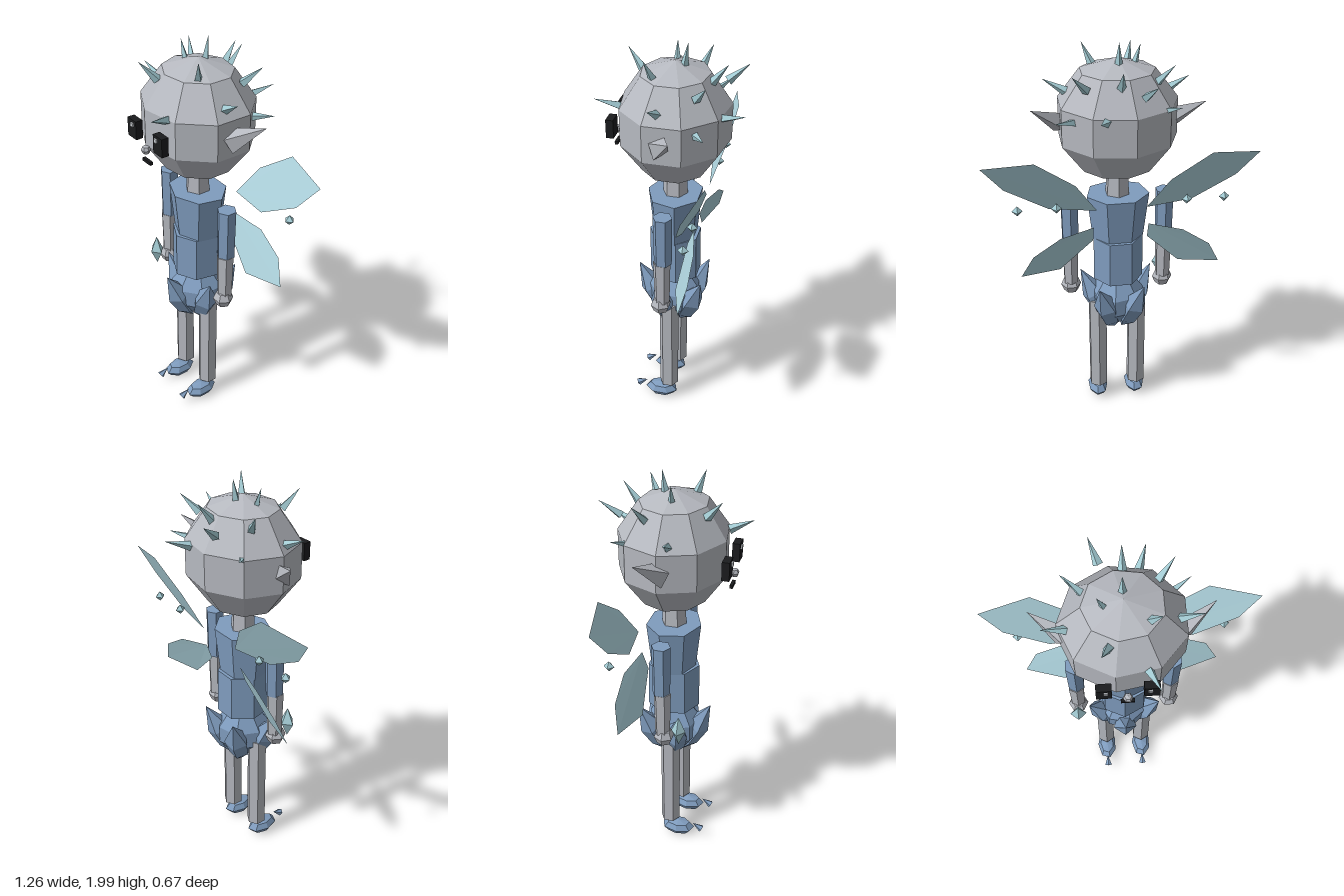
import * as THREE from 'three';

const mat = (name, color, side = THREE.FrontSide) => {
  const m = new THREE.MeshStandardMaterial({ color, flatShading: true, side });
  m.name = name;
  return m;
};

export function createModel() {
  const root = new THREE.Group();
  root.name = 'pixie';
  const skin = mat('stone skin', 0xb6b9c0);
  const cloth = mat('dusty blue cloth', 0x7f9cbe);
  const ice = mat('ice blue', 0xa3cbd3);
  const wingMat = mat('wing blue', 0xaed3dd, THREE.DoubleSide);
  const black = mat('black', 0x1b1c1e);
  const glint = mat('eye glint', 0xc9cdd2);

  const add = (name, geo, material, pos = [0, 0, 0], scale = [1, 1, 1]) => {
    const m = new THREE.Mesh(geo, material);
    m.name = name;
    m.position.set(...pos);
    m.scale.set(...scale);
    root.add(m);
    return m;
  };
  const up = new THREE.Vector3(0, 1, 0);
  // Turns a y-aligned geometry so that it runs from a to b
  const between = (name, geo, material, a, b, scale = [1, 1, 1]) => {
    const mid = a.clone().add(b).multiplyScalar(0.5);
    const m = add(name, geo, material, mid.toArray(), scale);
    m.quaternion.setFromUnitVectors(up, b.clone().sub(a).normalize());
    return m;
  };
  const V = (x, y, z) => new THREE.Vector3(x, y, z);

  // Head and neck
  const headCentre = V(0, 1.625, 0);
  add('head', new THREE.SphereGeometry(0.284, 9, 5), skin, headCentre.toArray(), [1.03, 1, 0.94]);
  add('neck', new THREE.CylinderGeometry(0.052, 0.06, 0.14, 6), skin, [0, 1.32, 0]);

  // Hair spikes, given by their tips
  const tips = [
    [0, 1.99, -0.055], [-0.105, 1.96, 0.015], [0.147, 1.955, 0.105],
    [-0.1, 1.91, 0.24], [0.13, 1.75, 0.335], [0.33, 1.815, 0.04],
    [-0.34, 1.79, 0.057], [0.12, 1.735, -0.335], [-0.125, 1.87, -0.305],
    [0.01, 1.915, -0.235], [-0.254, 1.74, -0.21], [-0.234, 1.9, -0.12],
    [0.22, 1.89, -0.18], [0.3, 1.69, -0.19],
  ];
  for (const t of tips) {
    const tip = V(...t);
    const dir = tip.clone().sub(headCentre).normalize();
    const base = tip.clone().addScaledVector(dir, -0.12);
    between('hairSpike', new THREE.ConeGeometry(0.022, 0.12, 4), ice, base, tip);
  }

  // Nose and mouth
  add('nose', new THREE.SphereGeometry(0.022, 6, 4), skin, [0, 1.547, 0.28]);
  add('mouth', new THREE.BoxGeometry(0.06, 0.015, 0.015), black, [0, 1.487, 0.273]);

  // Torso
  add('chest', new THREE.CylinderGeometry(0.153, 0.126, 0.23, 7), cloth, [0, 1.135, 0], [1, 1, 0.86]);
  add('belly', new THREE.CylinderGeometry(0.123, 0.125, 0.23, 7), cloth, [0, 0.91, 0], [1, 1, 1.03]);
  add('hips', new THREE.SphereGeometry(0.14, 7, 5), cloth, [0, 0.66, 0], [0.98, 1, 1]);

  // Skirt petals flaring up and out like a bud
  const petalGeo = new THREE.LatheGeometry(
    [[0, -0.175], [0.052, -0.08], [0.062, 0.03], [0, 0.175]].map((p) => new THREE.Vector2(...p)), 5);
  for (let i = 0; i < 5; i++) {
    const a = (i * Math.PI * 2) / 5;
    const at = (r, y) => V(Math.sin(a) * r, y, Math.cos(a) * r);
    between('skirtPetal', petalGeo, cloth, at(0.03, 0.485), at(0.188, 0.8));
  }

  // Flat panel from an outline, fanned around its first point
  const panel = (pts) => {
    const pos = [];
    for (let i = 1; i < pts.length - 1; i++) pos.push(...pts[0], ...pts[i], ...pts[i + 1]);
    const g = new THREE.BufferGeometry();
    g.setAttribute('position', new THREE.Float32BufferAttribute(pos, 3));
    g.computeVertexNormals();
    return g;
  };
  const upperWing = [[0.116, 1.235, -0.14], [0.333, 1.245, -0.11], [0.535, 1.367, -0.13],
    [0.63, 1.495, -0.17], [0.397, 1.527, -0.22], [0.217, 1.395, -0.193]];
  const lowerWing = [[0.13, 1.135, -0.12], [0.13, 1.05, -0.09], [0.29, 0.89, -0.07],
    [0.48, 0.9, -0.125], [0.42, 1.02, -0.156], [0.29, 1.108, -0.155]];

  for (const s of [1, -1]) {
    const side = s > 0 ? 'left' : 'right';
    const flip = (pts) => pts.map(([x, y, z]) => [x * s, y, z]);

    // Face
    add(side + 'Eye', new THREE.BoxGeometry(0.066, 0.088, 0.035), black, [s * 0.1, 1.61, 0.268]);
    add(side + 'EyeGlint', new THREE.BoxGeometry(0.018, 0.018, 0.008), glint, [s * 0.092, 1.633, 0.289]);
    between(side + 'Ear', new THREE.ConeGeometry(0.058, 0.17, 4), skin,
      V(s * 0.25, 1.615, 0.015), V(s * 0.395, 1.71, -0.065), [1, 1.1, 0.8]);

    // Arms
    add(side + 'Sleeve', new THREE.CylinderGeometry(0.046, 0.043, 0.255, 6), cloth, [s * 0.23, 1.12, 0.005]);
    add(side + 'Forearm', new THREE.CylinderGeometry(0.042, 0.037, 0.23, 6), skin, [s * 0.232, 0.88, 0.01]);
    add(side + 'Hand', new THREE.SphereGeometry(0.05, 6, 4), skin, [s * 0.232, 0.745, 0.017]);

    // Legs and shoes with curled toes
    add(side + 'Leg', new THREE.CylinderGeometry(0.049, 0.049, 0.54, 6), skin, [s * 0.1, 0.375, 0.01]);
    add(side + 'Shoe', new THREE.SphereGeometry(0.05, 7, 4), cloth, [s * 0.1, 0.045, 0.052], [1.05, 0.82, 1.75]);
    between(side + 'ToeCurl', new THREE.ConeGeometry(0.02, 0.055, 5), cloth,
      V(s * 0.1, 0.052, 0.18), V(s * 0.1, 0.08, 0.133));

    // Wings and floating motes
    add(side + 'UpperWing', panel(flip(upperWing)), wingMat);
    add(side + 'LowerWing', panel(flip(lowerWing)), wingMat);
    for (const x of [0.48, 0.303]) {
      add(side + 'Mote', new THREE.OctahedronGeometry(0.025), ice, [s * x, 1.267, -0.15]);
    }
  }

  // Crystal held in the right hand
  add('handCrystal', new THREE.OctahedronGeometry(1), ice, [-0.235, 0.79, 0.09], [0.042, 0.08, 0.035]);

  return root;
}
